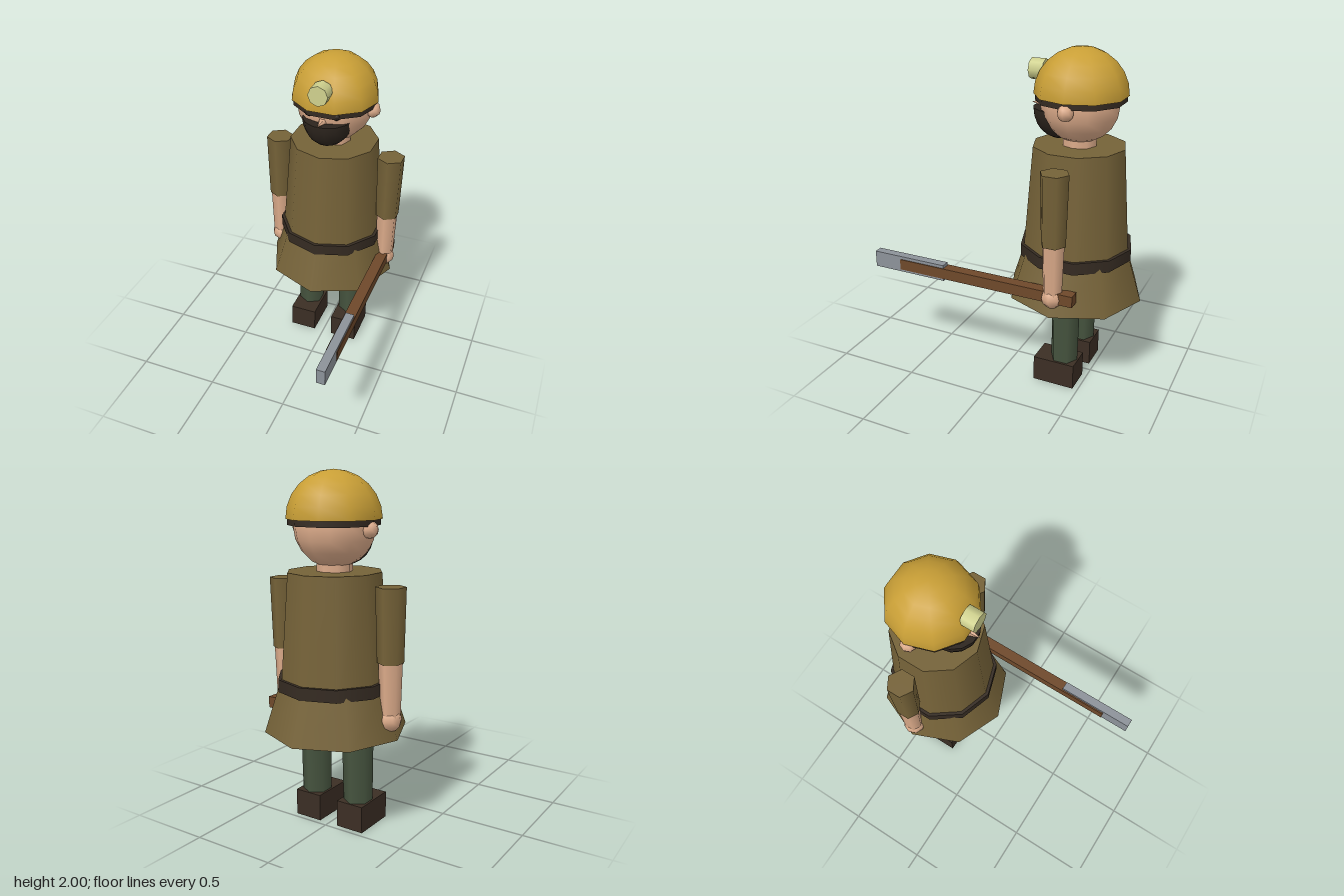
import * as THREE from 'three';

const Z = -0.379; // body axis; the pick reaches forward from it

export function createModel() {
  const group = new THREE.Group();
  const mat = (name, color, side = THREE.FrontSide) => {
    const m = new THREE.MeshStandardMaterial({ color, side });
    m.name = name;
    return m;
  };
  const coat = mat('coatOlive', 0x756238);
  const yellow = mat('helmetYellow', 0xc99f36, THREE.DoubleSide);
  const skin = mat('skin', 0xdcab8a);
  const green = mat('trouserGreen', 0x46543f);
  const boot = mat('bootBrown', 0x3b2e24);
  const leather = mat('leather', 0x352b22, THREE.DoubleSide);
  const dark = mat('beardDark', 0x2c241d);
  const wood = mat('wood', 0x6e482a);
  const steel = mat('steel', 0x8c9299);
  const glass = mat('lampGlass', 0xcfd18e);

  const add = (name, geometry, material, x = 0, y = 0, z = Z) => {
    const mesh = new THREE.Mesh(geometry, material);
    mesh.name = name;
    mesh.position.set(x, y, z);
    group.add(mesh);
    return mesh;
  };
  // upright tapered prism between two heights
  const column = (name, rTop, rBottom, y0, y1, sides, material, x = 0, open = false) =>
    add(name, new THREE.CylinderGeometry(rTop, rBottom, y1 - y0, sides, 1, open), material, x, (y0 + y1) / 2);
  const ball = (name, r, material, x, y, z, w = 8, h = 6) =>
    add(name, new THREE.SphereGeometry(r, w, h), material, x, y, z);

  // coat
  column('skirt', 0.32, 0.407, 0.56, 0.83, 8, coat);
  column('torso', 0.267, 0.318, 0.82, 1.46, 10, coat);
  column('belt', 0.333, 0.333, 0.805, 0.875, 10, leather);

  // limbs
  for (const s of [1, -1]) {
    const side = s > 0 ? 'left' : 'right';
    column(side + 'Leg', 0.09, 0.083, 0.14, 0.62, 6, green, s * 0.146);
    add(side + 'Boot', new THREE.BoxGeometry(0.17, 0.155, 0.255), boot, s * 0.146, 0.0775, -0.341);
    column(side + 'Sleeve', 0.083, 0.073, 0.99, 1.4, 6, coat, s * 0.36);
    column(side + 'Forearm', 0.066, 0.056, 0.68, 1.0, 6, skin, s * 0.36);
    ball(side + 'Hand', 0.066, skin, s * 0.36, 0.672, Z);
    ball(side + 'Ear', 0.047, skin, s * 0.23, 1.69, Z);
    ball(side + 'Eye', 0.027, dark, s * 0.083, 1.72, -0.168);
  }

  // head
  column('neck', 0.1, 0.1, 1.44, 1.54, 8, skin);
  ball('head', 0.225, skin, 0, 1.7, Z, 12, 10);
  const nose = add('nose', new THREE.ConeGeometry(0.032, 0.1, 5), skin, 0, 1.672, -0.137);
  nose.rotation.x = Math.PI / 2;

  // beard: flat-topped lower half of an ellipsoid
  const beard = add('beard',
    new THREE.SphereGeometry(1, 14, 6, 0, Math.PI * 2, Math.PI / 2, Math.PI / 2), dark, 0, 1.66, -0.26);
  beard.scale.set(0.15, 0.176, 0.155);
  const beardTop = add('beardTop', new THREE.CircleGeometry(1, 14), dark, 0, 1.66, -0.26);
  beardTop.scale.set(0.15, 0.155, 1);
  beardTop.rotation.x = -Math.PI / 2;

  // helmet with its inner band and lamp
  add('helmet', new THREE.SphereGeometry(0.262, 10, 6, 0, Math.PI * 2, 0, Math.PI / 2), yellow, 0, 1.74);
  const band = column('helmetBand', 0.253, 0.253, 1.708, 1.745, 10, leather, 0, true);
  band.rotation.y = Math.PI / 2;
  const lamp = add('lamp', new THREE.CylinderGeometry(0.06, 0.06, 0.085, 8), glass, 0, 1.86, -0.1275);
  lamp.rotation.x = Math.PI / 2;

  // pick held in the left hand
  add('pickHandle', new THREE.BoxGeometry(0.066, 0.066, 1.115), wood, 0.358, 0.678, 0.05);
  add('pickHead', new THREE.BoxGeometry(0.052, 0.1, 0.478), steel, 0.36, 0.68, 0.547);

  return group;
}
